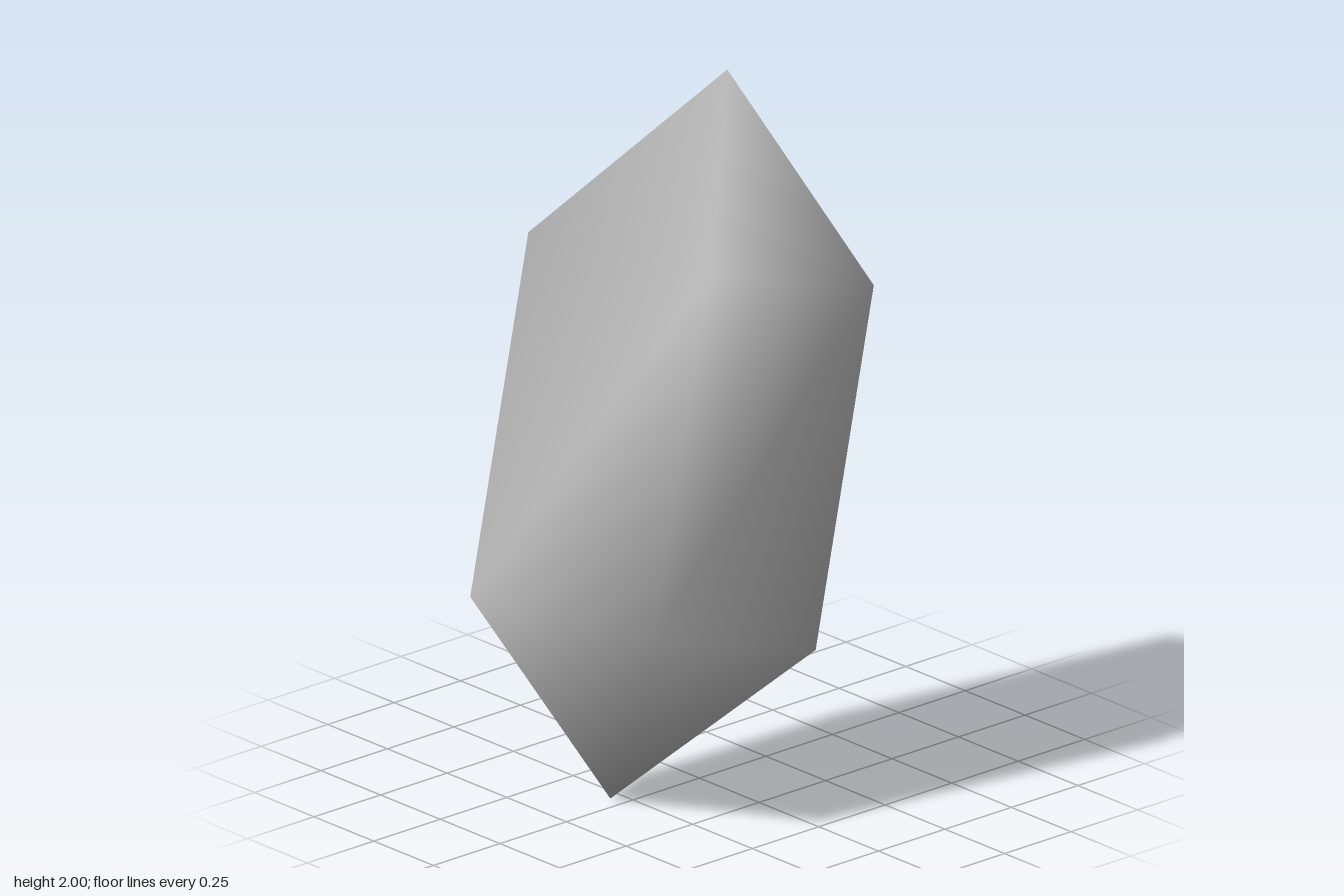
import * as THREE from 'three';

export function createModel() {
  const group = new THREE.Group();
  group.name = 'crystal';

  const stone = new THREE.MeshStandardMaterial({ color: 0xcccccc, side: THREE.DoubleSide });
  stone.name = 'paleStone';

  // Upper ring, counterclockwise from above; the lower ring is the same one slid along the leaning axis
  const ring = [
    [-0.36, 1.62, 0.32],
    [0.235, 1.62, 0.175],
    [0.285, 1.46, -0.4],
    [-0.275, 1.36, -0.61],
  ];
  const slide = [0.074, -1, 0.285];
  const lower = ring.map((p) => p.map((v, i) => v + slide[i]));
  const topTip = [-0.195, 2, -0.28];
  const bottomTip = [-0.05, 0, 0.29];

  const n = ring.length;
  const index = [];
  for (let i = 0; i < n; i++) {
    const j = (i + 1) % n;
    index.push(n + i, n + j, j, n + i, j, i); // side
    index.push(i, j, 2 * n); // upper point
    index.push(n + j, n + i, 2 * n + 1); // lower point
  }

  // Shared corners keep the shading smooth over the whole stone
  const geometry = new THREE.BufferGeometry();
  const points = [...ring, ...lower, topTip, bottomTip].flat();
  geometry.setAttribute('position', new THREE.Float32BufferAttribute(points, 3));
  geometry.setIndex(index);
  geometry.computeVertexNormals();

  const body = new THREE.Mesh(geometry, stone);
  body.name = 'crystalBody';
  group.add(body);
  return group;
}
